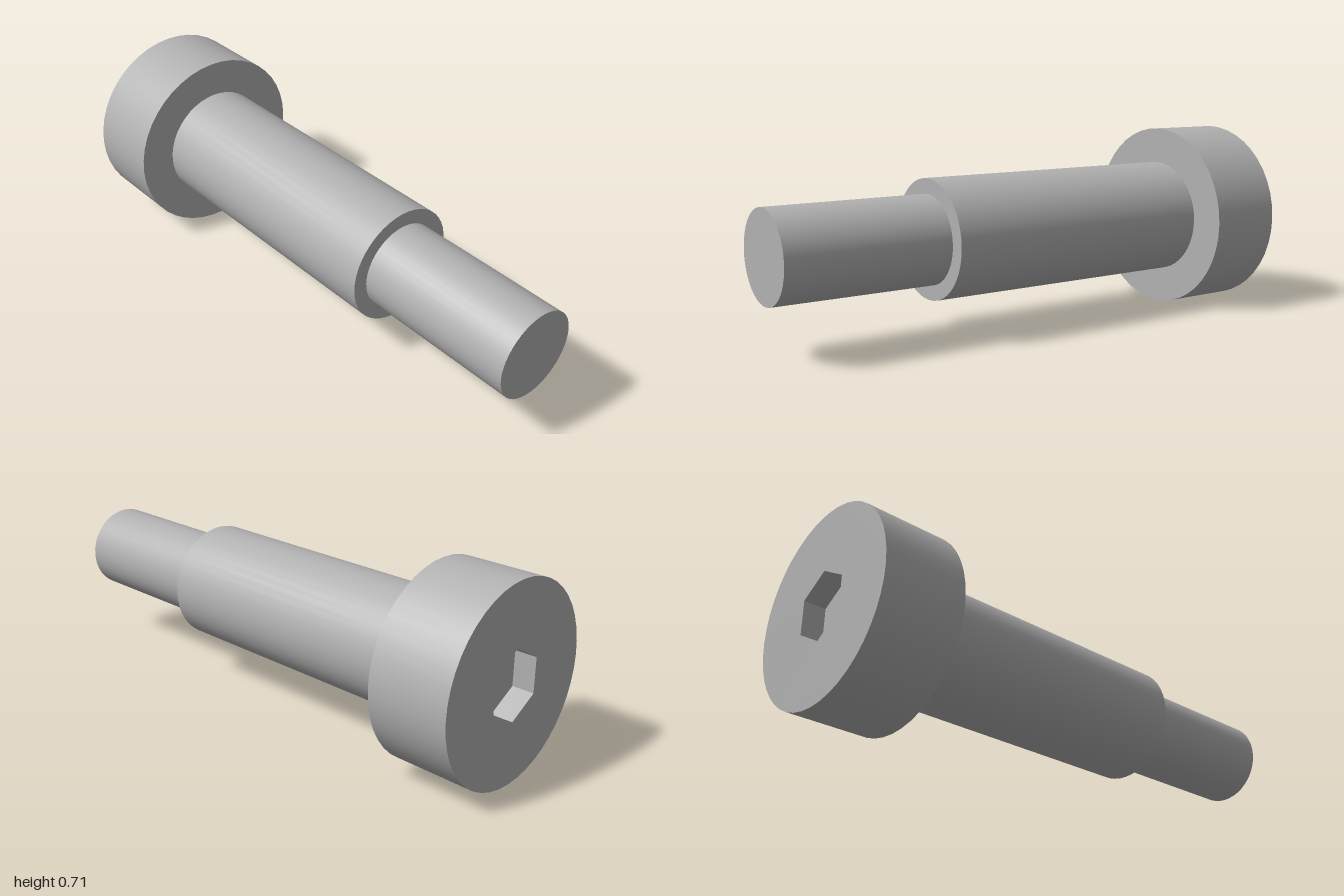
import * as THREE from 'three';

const SIDES = 44;
const AXIS_Y = 0.353;
const BACK_Z = -1;

export function createModel() {
  const model = new THREE.Group();
  const steel = new THREE.MeshStandardMaterial({ color: 0xb2b2b2 });
  steel.name = 'grey steel';

  const add = (parent, name, geometry, z) => {
    const mesh = new THREE.Mesh(geometry, steel);
    mesh.name = name;
    mesh.position.z = z;
    parent.add(mesh);
  };

  // Stepped sections along the axis; each ends in a flat face towards +z
  const sections = [
    { name: 'head', radius: 0.353, from: BACK_Z, to: -0.70, inner: 0.217 },
    { name: 'shoulder', radius: 0.217, from: -0.70, to: 0.387, inner: 0.162 },
    { name: 'endShank', radius: 0.162, from: 0.387, to: 1, inner: 0 },
  ];
  const bolt = new THREE.Group();
  bolt.name = 'shoulderBolt';
  bolt.position.y = AXIS_Y;
  model.add(bolt);

  for (const { name, radius, from, to, inner } of sections) {
    const section = new THREE.Group();
    section.name = name;
    const wall = new THREE.CylinderGeometry(radius, radius, to - from, SIDES, 1, true);
    add(section, name + 'Wall', wall.rotateX(Math.PI / 2), (from + to) / 2);
    const face = inner
      ? new THREE.RingGeometry(inner, radius, SIDES)
      : new THREE.CircleGeometry(radius, SIDES);
    add(section, name + 'FrontFace', face, to);
    bolt.add(section);
  }

  // Back face of the head, pierced by the hexagonal socket
  const socketRadius = 0.127;
  const socketDepth = 0.08;
  const polygon = (radius, sides) => Array.from({ length: sides }, (_, i) => {
    const a = Math.PI / 2 + (i / sides) * Math.PI * 2;
    return new THREE.Vector2(Math.cos(a) * radius, Math.sin(a) * radius);
  });
  const backShape = new THREE.Shape(polygon(0.353, SIDES));
  backShape.holes.push(new THREE.Path(polygon(socketRadius, 6)));
  add(bolt, 'headBackFace', new THREE.ShapeGeometry(backShape).rotateY(Math.PI), BACK_Z);

  // Socket walls: a mirrored tube turns its faces inward
  const socketWall = new THREE.CylinderGeometry(socketRadius, socketRadius, socketDepth, 6, 1, true)
    .rotateX(Math.PI / 2).scale(-1, 1, 1).toNonIndexed();
  socketWall.computeVertexNormals();
  add(bolt, 'socketWalls', socketWall, BACK_Z + socketDepth / 2);

  const socketFloor = new THREE.CircleGeometry(socketRadius, 6, Math.PI / 2).rotateY(Math.PI);
  add(bolt, 'socketFloor', socketFloor, BACK_Z + socketDepth);

  return model;
}
